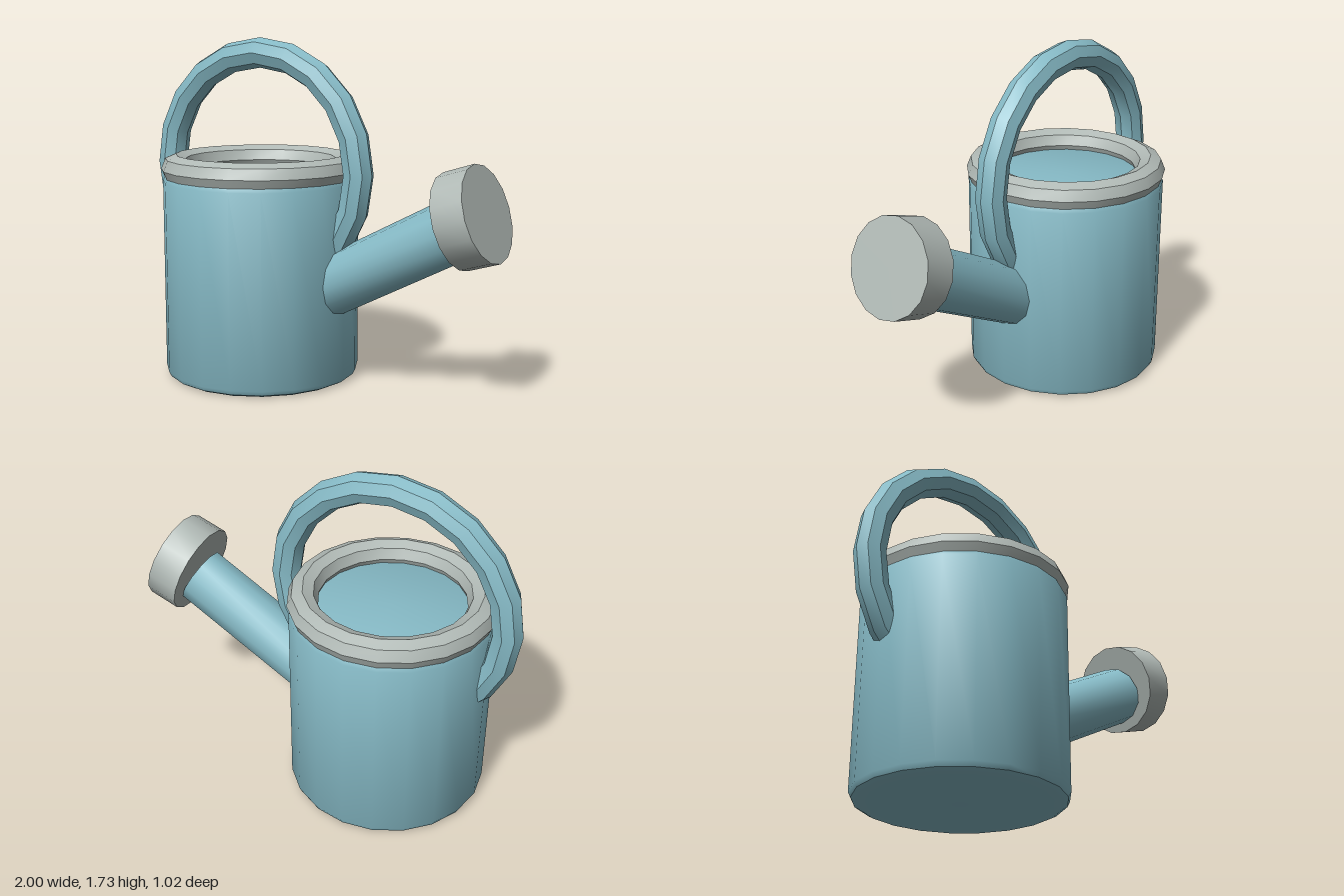
import * as THREE from 'three';
import { toCreasedNormals } from 'three/addons/utils/BufferGeometryUtils.js';

const AXIS_X = -0.34; // vertical axis of the can
const CREASE = 0.6;

export function createModel() {
  const group = new THREE.Group();
  const blue = new THREE.MeshStandardMaterial({ color: 0x86bac6 });
  blue.name = 'blue enamel';
  const grey = new THREE.MeshStandardMaterial({ color: 0xb1bab6 });
  grey.name = 'pale grey metal';

  function add(name, geometry, material, x, y, z = 0) {
    const mesh = new THREE.Mesh(toCreasedNormals(geometry, CREASE), material);
    mesh.name = name;
    mesh.position.set(x, y, z);
    group.add(mesh);
    return mesh;
  }

  // Solid can with softened top and bottom edges
  const profile = [
    [0, 0], [0.465, 0], [0.488, 0.012], [0.5, 0.035],
    [0.5, 1.005], [0.488, 1.028], [0.465, 1.04], [0, 1.04],
  ].map(([r, y]) => new THREE.Vector2(r, y));
  add('body', new THREE.LatheGeometry(profile, 20), blue, AXIS_X, 0);

  // Thick rim around the opening
  const rim = new THREE.TorusGeometry(0.433, 0.075, 8, 20);
  rim.rotateX(Math.PI / 2);
  add('rim', rim, grey, AXIS_X, 1.065);

  // Hoop handle, its lower ends sunk into the can
  const step = Math.PI / 10;
  const handle = new THREE.TorusGeometry(0.584, 0.076, 8, 16, 16 * step);
  handle.rotateZ(-3 * step);
  add('handle', handle, blue, AXIS_X, 1.065);

  // Sloping spout, rooted inside the can
  const slope = THREE.MathUtils.degToRad(27.5);
  const length = 0.95;
  const spout = new THREE.CylinderGeometry(0.15, 0.15, length, 12);
  spout.translate(0, -length / 2, 0);
  spout.rotateZ(slope - Math.PI / 2);
  add('spout', spout, blue, 0.775, 0.857);

  // Sprinkler head, tilted a little less than the spout
  const head = new THREE.CylinderGeometry(0.235, 0.235, 0.165, 16);
  head.rotateZ(THREE.MathUtils.degToRad(17.5) - Math.PI / 2);
  add('sprinklerHead', head, grey, 0.851, 0.916);

  return group;
}
